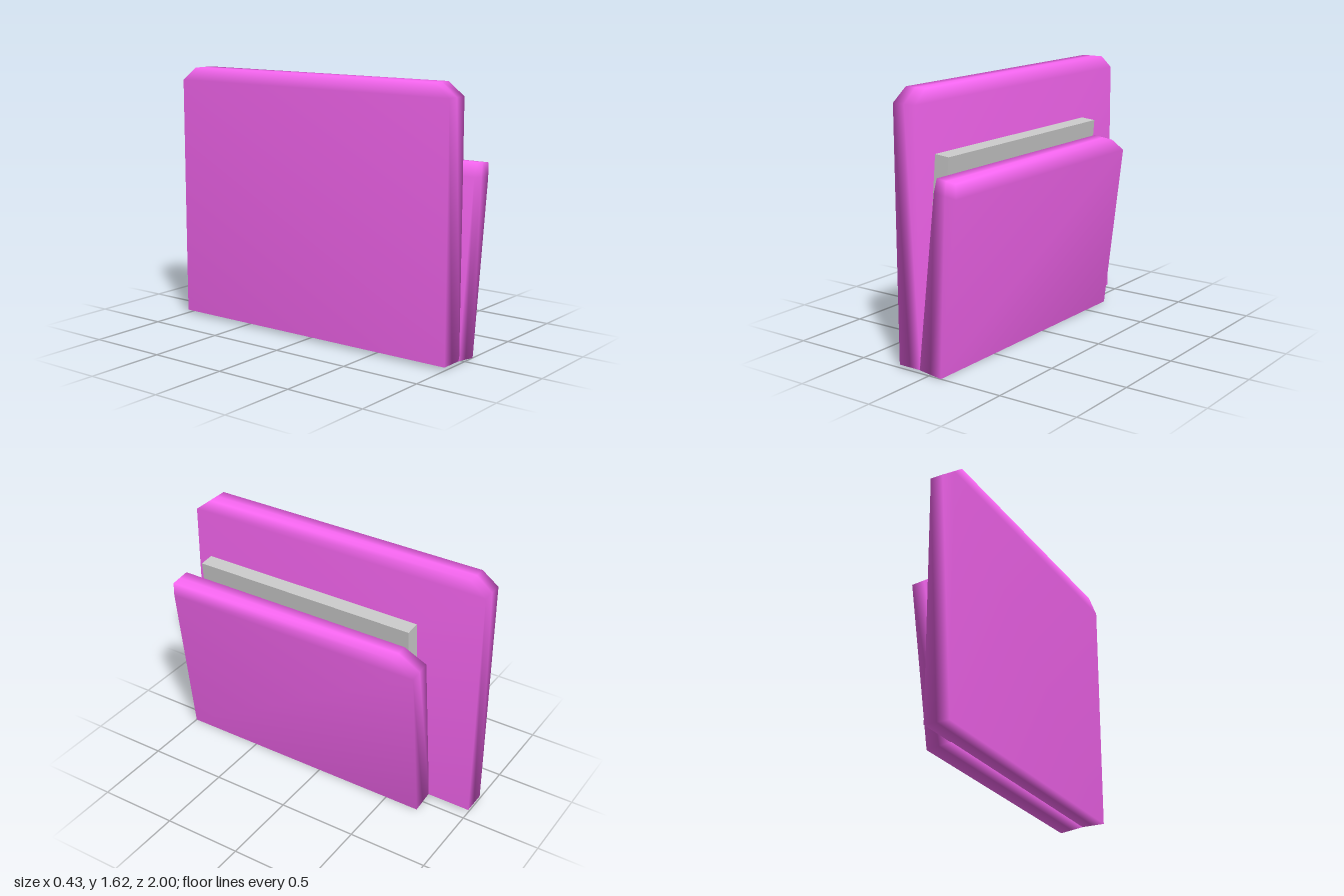
import * as THREE from 'three';

const cover = new THREE.MeshStandardMaterial({ color: 0xfb68f5 });
const paper = new THREE.MeshStandardMaterial({ color: 0xcccccc });

// Smooth-shaded slab: one outline in (z, y) repeated across the thickness,
// slightly thinner along the top edge.
function slab(outline, half, topHalf) {
  const n = outline.length;
  const pos = [];
  const idx = [];
  for (const side of [-1, 0, 1]) {
    for (const [z, y, top] of outline) pos.push(side * (top ? topHalf : half), y, z);
  }
  // rim
  for (let k = 0; k < 2; k++) {
    for (let i = 0; i < n; i++) {
      const j = (i + 1) % n;
      const a = k * n + i, b = k * n + j;
      idx.push(a, b, b + n, a, b + n, a + n);
    }
  }
  // broad faces: main panel and the thinner top band
  for (const [a, b, c, d] of [[0, 1, 2, 5], [5, 2, 3, 4]]) {
    const o = 2 * n;
    idx.push(o + a, o + b, o + c, o + a, o + c, o + d);
    idx.push(a, c, b, a, d, c);
  }
  const g = new THREE.BufferGeometry();
  g.setAttribute('position', new THREE.Float32BufferAttribute(pos, 3));
  g.setIndex(idx);
  g.computeVertexNormals();
  return g;
}

export function createModel() {
  const group = new THREE.Group();
  const add = (name, geometry, material, x, y, z, tilt = 0) => {
    const mesh = new THREE.Mesh(geometry, material);
    mesh.name = name;
    mesh.position.set(x, y, z);
    mesh.rotation.z = -tilt;
    group.add(mesh);
  };

  // Upright rear cover with both top corners cut
  const back = [[1, 0], [-1, 0], [-1, 1.52], [-0.9, 1.6, true], [0.9, 1.6, true], [1, 1.52]];
  add('backCover', slab(back, 0.078, 0.07), cover, -0.14, 0.02, 0);

  // Shorter leaning cover with one top corner cut
  const front = [[1, 0], [-0.72, 0], [-0.72, 1.06], [-0.585, 1.146, true], [1, 1.146, true], [1, 1.06]];
  add('frontCover', slab(front, 0.078, 0.066), cover, 0.009, 0.01, 0, 0.122);

  // Sheet of paper held between the covers
  const sheet = new THREE.BoxGeometry(0.095, 1.2, 1.48);
  sheet.translate(0, 0.6, 0);
  add('paperSheet', sheet, paper, -0.08, 0.058, 0.14, 0.085);

  return group;
}
